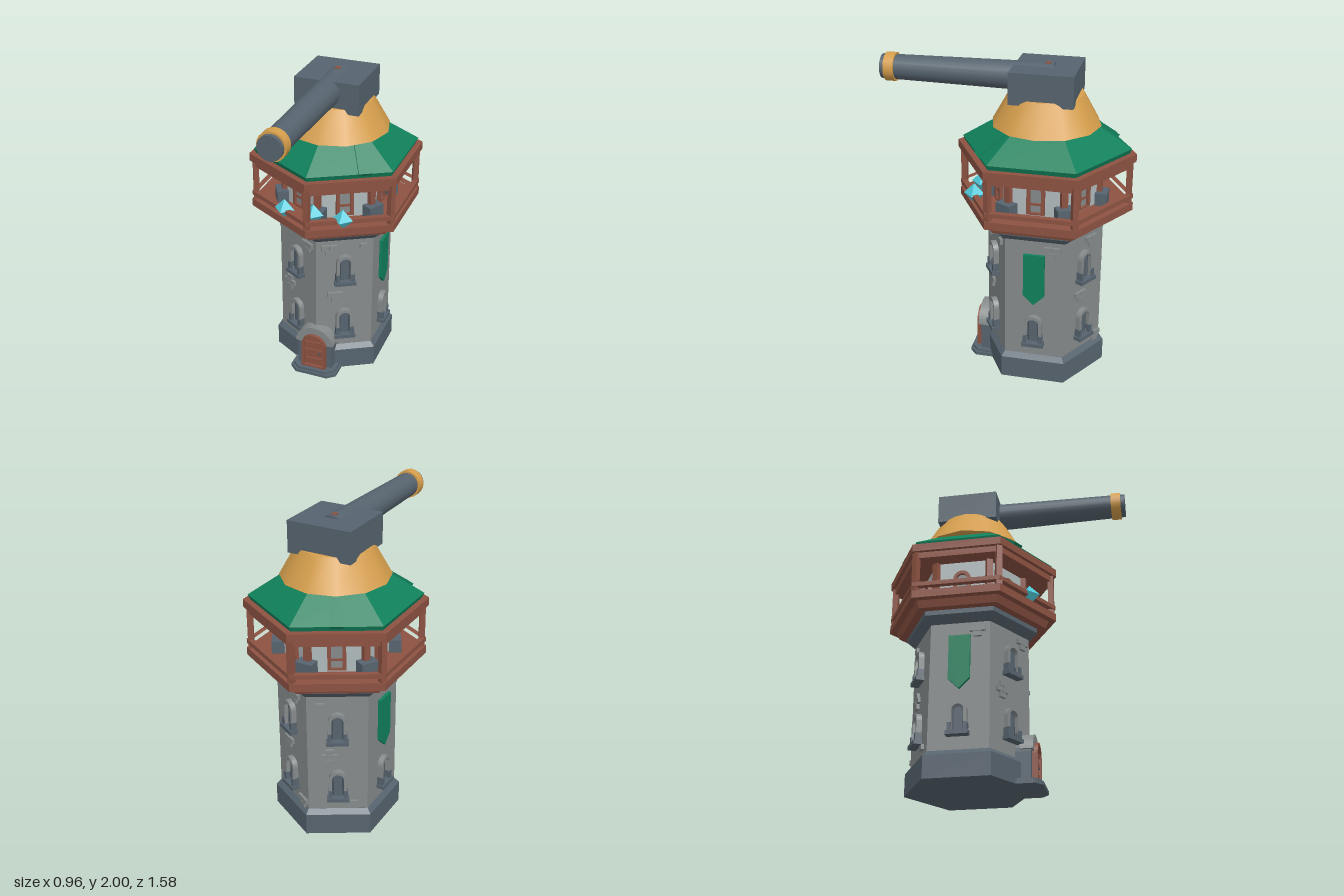
import * as THREE from 'three';

const mat = (name, color) => { const m = new THREE.MeshStandardMaterial({ color }); m.name = name; return m; };

export function createModel() {
  const slate = mat('slate', 0x56636e), dark = mat('dark slate', 0x444e58), stone = mat('stone', 0x858a8b);
  const plaster = mat('plaster', 0xb0babb), wood = mat('red wood', 0x8c5242), green = mat('green', 0x10805b);
  const gold = mat('gold', 0xd59e4c), crystalBlue = mat('crystal blue', 0x4fcadb);

  const model = new THREE.Group();
  model.name = 'cannonTower';
  const tower = new THREE.Group();
  tower.name = 'tower';
  tower.position.z = -0.235;
  model.add(tower);

  const add = (parent, name, geo, m, x = 0, y = 0, z = 0) => {
    const mesh = new THREE.Mesh(geo, m);
    mesh.name = name;
    mesh.position.set(x, y, z);
    parent.add(mesh);
    return mesh;
  };
  const box = (w, h, d) => new THREE.BoxGeometry(w, h, d);
  const faceted = (geo) => {
    const g = geo.index ? geo.toNonIndexed() : geo;
    g.computeVertexNormals();
    return g;
  };
  // Hexagonal frustum between two heights, corner facing the front
  const hex = (name, rBottom, rTop, y0, y1, m) =>
    add(tower, name, faceted(new THREE.CylinderGeometry(rTop, rBottom, y1 - y0, 6)), m, 0, (y0 + y1) / 2, 0);
  const hexPoints = (r) => Array.from({ length: 6 }, (_, i) =>
    new THREE.Vector2(r * Math.sin(i * Math.PI / 3), r * Math.cos(i * Math.PI / 3)));
  // Hexagonal ring
  const ring = (name, rOut, rIn, y0, y1, m) => {
    const s = new THREE.Shape(hexPoints(rOut));
    s.holes.push(new THREE.Path(hexPoints(rIn)));
    const g = new THREE.ExtrudeGeometry(s, { depth: y1 - y0, bevelEnabled: false }).rotateX(-Math.PI / 2);
    return add(tower, name, g, m, 0, y0, 0);
  };
  // Round-topped outline, standing on y = 0
  const archPath = (P, hw, h, y0 = 0) => {
    const p = new P();
    p.moveTo(-hw, y0);
    p.lineTo(hw, y0);
    p.lineTo(hw, h - hw);
    p.absarc(0, h - hw, hw, 0, Math.PI, false);
    p.lineTo(-hw, y0);
    return p;
  };
  const arch = (hw, h, depth, inner) => {
    const s = archPath(THREE.Shape, hw, h);
    if (inner) s.holes.push(archPath(THREE.Path, inner, h - (hw - inner), 0.012));
    return new THREE.ExtrudeGeometry(s, { depth, bevelEnabled: false, curveSegments: 8 });
  };
  // Group standing on one of the six sides: local z points outward
  const side = (i, name, apothem) => {
    const pivot = new THREE.Group();
    pivot.rotation.y = Math.PI / 6 + i * Math.PI / 3;
    const g = new THREE.Group();
    g.name = name;
    g.position.z = apothem;
    pivot.add(g);
    tower.add(pivot);
    return g;
  };

  // Masonry
  hex('base', 0.402, 0.402, 0, 0.142, slate);
  hex('baseBevel', 0.402, 0.37, 0.142, 0.172, slate);
  hex('shaft', 0.369, 0.369, 0.17, 0.99, stone);
  hex('corniceFlare', 0.375, 0.425, 0.98, 1.025, slate);
  hex('cornice', 0.425, 0.425, 1.025, 1.055, slate);

  // Balcony and its roof
  hex('balconyUnderside', 0.48, 0.5, 1.055, 1.1, wood);
  hex('balconyFloor', 0.52, 0.52, 1.1, 1.13, wood);
  ring('balconyRim', 0.547, 0.49, 1.1, 1.15, wood);
  ring('handrail', 0.545, 0.505, 1.18, 1.207, wood);
  hex('upperRoom', 0.335, 0.335, 1.12, 1.43, plaster);
  ring('eaveRail', 0.53, 0.485, 1.38, 1.42, wood);
  hex('eaveBoard', 0.555, 0.555, 1.42, 1.47, wood);
  hex('roofEdge', 0.512, 0.525, 1.47, 1.5, green);
  hex('roof', 0.525, 0.315, 1.5, 1.632, green);
  for (let i = 0; i < 6; i++) {
    const corner = new THREE.Group();
    corner.name = 'balconyCorner';
    corner.rotation.y = i * Math.PI / 3;
    tower.add(corner);
    add(corner, 'outerPost', box(0.036, 0.28, 0.036), wood, 0, 1.28, 0.518);
    add(corner, 'roomPillar', box(0.04, 0.28, 0.04), wood, 0, 1.28, 0.335);
    add(corner, 'pillarBlock', box(0.11, 0.085, 0.075), slate, 0, 1.168, 0.355);
  }

  // Openings in the side walls
  const addWindow = (wall, y) => {
    const w = new THREE.Group();
    w.name = 'window';
    w.position.y = y;
    wall.add(w);
    add(w, 'windowFrame', arch(0.056, 0.2, 0.035, 0.036), stone, 0, 0.012, 0);
    add(w, 'windowPane', arch(0.038, 0.18, 0.008), dark, 0, 0.015, 0);
    add(w, 'windowBars', arch(0.026, 0.155, 0.012), slate, 0, 0.025, 0);
    add(w, 'windowSill', box(0.138, 0.024, 0.055), slate, 0, 0.014, 0.025);
    for (const s of [-1, 1]) add(w, 'windowJamb', box(0.024, 0.055, 0.042), slate, s * 0.048, 0.05, 0.021);
  };
  const bannerShape = new THREE.Shape([[-0.066, 0.89], [-0.066, 0.61], [0, 0.545], [0.066, 0.61], [0.066, 0.89]]
    .map(([x, y]) => new THREE.Vector2(x, y)));
  const bannerGeo = new THREE.ExtrudeGeometry(bannerShape, { depth: 0.02, bevelEnabled: false });

  // Raised bricks per side: [offset, height, kind]
  const bricks = [
    [[-0.07, 0.56, 1], [-0.11, 0.915, 1], [0.12, 0.93, 0]],
    [[0.1, 0.915, 1]],
    [[0.05, 0.92, 1], [-0.04, 0.56, 1], [0.12, 0.2, 1]],
    [[-0.05, 0.56, 2], [0.1, 0.22, 0], [-0.1, 0.92, 0]],
    [[0.1, 0.915, 1]],
    [[-0.08, 0.56, 2], [0.1, 0.915, 1]],
  ];
  const layouts = [
    [[0, 0]],
    [[-0.015, 0.017], [0.035, 0.017], [0.01, -0.018]],
    [[0, 0.035], [-0.026, 0], [0.026, 0], [0, -0.035]],
  ];
  for (let i = 0; i < 6; i++) {
    const wall = side(i, 'wallSide', 0.319);
    addWindow(wall, 0.25);
    if (i % 3 === 1) add(wall, 'banner', bannerGeo, green, 0, 0, 0.004);
    else addWindow(wall, 0.66);
    for (const [u, y, kind] of bricks[i])
      for (const [dx, dy] of layouts[kind]) add(wall, 'brick', box(0.048, 0.032, 0.024), stone, u + dx, y + dy, 0.006);

    const room = side(i, 'roomSide', 0.289);
    add(room, 'roomWindowFrame', arch(0.055, 0.2, 0.025, 0.033), wood, 0, 1.15, 0);
    add(room, 'roomWindowPane', arch(0.034, 0.175, 0.008), stone, 0, 1.155, 0);
    add(room, 'roomWindowBar', box(0.07, 0.014, 0.018), wood, 0, 1.215, 0.008);
  }

  // Raised roof boards
  for (const [i, u] of [[0, 0.09], [5, -0.09], [3, 0]]) {
    const slope = side(i, 'roofSide', 0.372);
    add(slope, 'roofBoard', box(0.075, 0.024, 0.22), green, u, 1.562, 0).rotation.x = 0.626;
  }

  // Entrance at the front corner
  const entrance = new THREE.Group();
  entrance.name = 'entrance';
  model.add(entrance);
  const stepGeo = (w, z, h) => new THREE.ExtrudeGeometry(new THREE.Shape(
    [[-w, 0], [w, 0], [w, -z + 0.045], [w - 0.05, -z], [-w + 0.05, -z], [-w, -z + 0.045]]
      .map(([x, y]) => new THREE.Vector2(x, y))), { depth: h, bevelEnabled: false }).rotateX(-Math.PI / 2);
  add(entrance, 'lowerStep', stepGeo(0.16, 0.232, 0.022), slate);
  add(entrance, 'upperStep', stepGeo(0.147, 0.22, 0.037), slate);
  add(entrance, 'porch', arch(0.118, 0.325, 0.16), slate);
  const hood = new THREE.Shape();
  hood.absarc(0, 0, 0.132, 0.1, Math.PI - 0.1, false);
  hood.absarc(0, 0, 0.085, Math.PI - 0.1, 0.1, true);
  add(entrance, 'porchHood', new THREE.ExtrudeGeometry(hood, { depth: 0.08, bevelEnabled: false, curveSegments: 10 }),
    stone, 0, 0.208, 0.094);
  add(entrance, 'doorFrame', arch(0.083, 0.255, 0.04, 0.064), wood, 0, 0.036, 0.155);
  add(entrance, 'doorPanel', arch(0.066, 0.235, 0.02), wood, 0, 0.04, 0.155);
  for (const y of [0.095, 0.165, 0.225]) add(entrance, 'doorBatten', box(0.12, 0.016, 0.012), wood, 0, y, 0.178);
  add(entrance, 'doorKnob', new THREE.SphereGeometry(0.009, 8, 6), dark, 0.04, 0.145, 0.18);

  // Crystals on the balcony
  for (const x of [-0.192, 0, 0.192]) {
    const geo = faceted(new THREE.OctahedronGeometry(0.066));
    add(model, 'crystal', geo, crystalBlue, x, 1.2, 0.172);
  }

  // Cannon turret
  add(tower, 'turretMount', new THREE.CylinderGeometry(0.228, 0.335, 0.19, 12), gold, 0, 1.725, 0);
  add(model, 'cannonHousing', box(0.412, 0.195, 0.388), slate, 0, 1.8875, -0.235);
  const barrel = new THREE.CylinderGeometry(0.075, 0.09, 1.07, 20).rotateX(Math.PI / 2);
  add(model, 'cannonBarrel', barrel, slate, 0, 1.91, 0.255);
  const band = new THREE.CylinderGeometry(0.088, 0.088, 0.063, 20).rotateX(Math.PI / 2);
  add(model, 'muzzleBand', band, gold, 0, 1.91, 0.732);
  add(model, 'fuse', box(0.034, 0.02, 0.032), wood, 0, 1.992, -0.242);

  return model;
}
